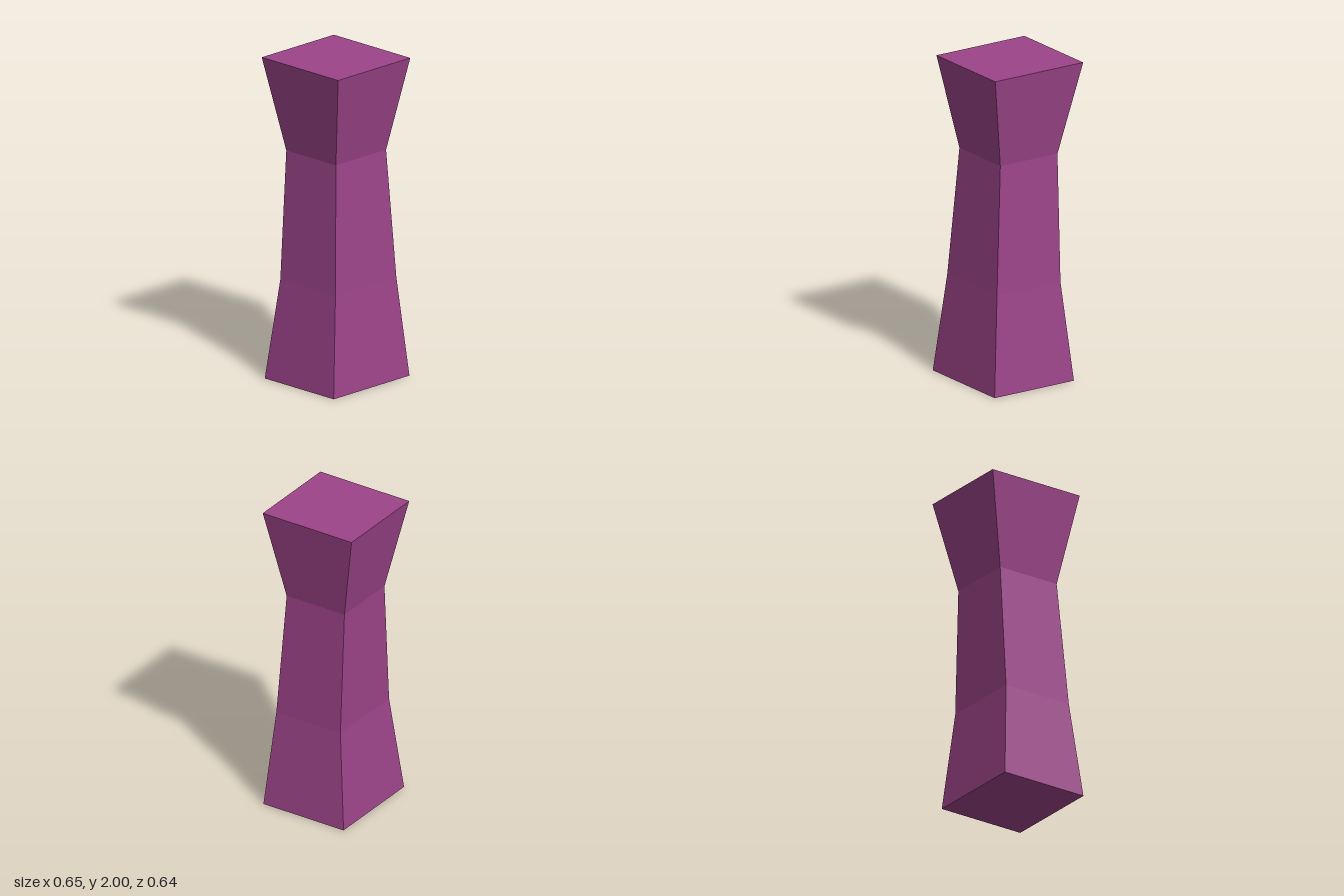
import * as THREE from 'three';

// Cross-sections from bottom to top: height, x range, z range
const SECTIONS = [
  { y: 0, x: [-0.327, 0.32], z: [-0.26, 0.32] },
  { y: 0.62, x: [-0.255, 0.265], z: [-0.2, 0.264] },
  { y: 1.42, x: [-0.2, 0.228], z: [-0.204, 0.214] },
  { y: 2, x: [-0.289, 0.327], z: [-0.323, 0.32] },
];

// Box whose rings of corners are fitted to the cross-sections
function fittedColumn(sections) {
  const rows = sections.length - 1;
  const geometry = new THREE.BoxGeometry(1, 1, 1, 1, rows, 1);
  const pos = geometry.attributes.position;
  for (let i = 0; i < pos.count; i++) {
    const s = sections[Math.round((pos.getY(i) + 0.5) * rows)];
    pos.setXYZ(i, s.x[pos.getX(i) > 0 ? 1 : 0], s.y, s.z[pos.getZ(i) > 0 ? 1 : 0]);
  }
  const flat = geometry.toNonIndexed();
  flat.computeVertexNormals();
  return flat;
}

export function createModel() {
  const group = new THREE.Group();
  group.name = 'pillar';

  // Waisted square column with a flared top
  const material = new THREE.MeshStandardMaterial({ color: 0x9c4489, flatShading: true });
  const column = new THREE.Mesh(fittedColumn(SECTIONS), material);
  column.name = 'column';
  group.add(column);

  return group;
}
